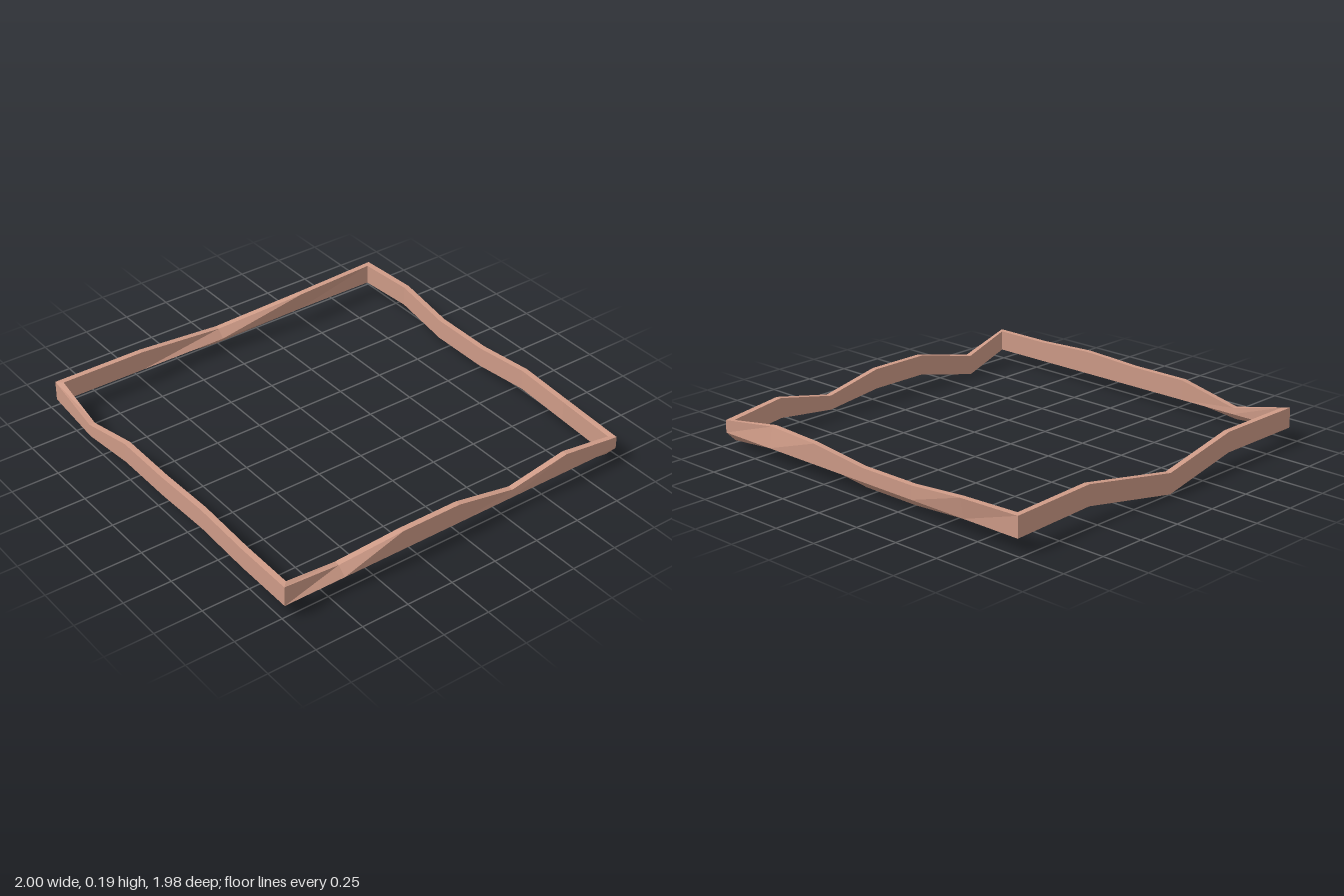
import * as THREE from 'three';

const TOP = 0.175, BOTTOM = 0.07, WALL = 0.03;
const X0 = -0.96, X1 = 1, Z0 = -0.97, Z1 = 0.985;

// Each side runs anticlockwise (seen from above) from its corner, in equal steps.
// A bend is [push outward, top lift, bottom lift]; one lower corner stays pinned.
const flat = [0, 0, 0];
const sides = [
  { from: [X0, Z1], to: [X1, Z1], out: [0, 1], pinned: 'inner',            // front
    bends: [flat, [0.004, -0.073, -0.035], flat, flat, [0, 0.015, 0.015], flat] },
  { from: [X1, Z1], to: [X1, Z0], out: [1, 0], pinned: 'outer',            // +x side
    bends: [flat, [-0.045, -0.065, -0.065], flat, flat, [-0.006, -0.065, -0.035], flat] },
  { from: [X1, Z0], to: [X0, Z0], out: [0, -1], pinned: 'outer',           // back
    bends: [[0, -0.04, -0.04], [-0.02, 0, 0], flat, [0, -0.035, -0.035], [0, -0.035, -0.035], [0.02, 0, 0]] },
  { from: [X0, Z0], to: [X0, Z1], out: [-1, 0], pinned: 'inner',           // -x side
    bends: [flat, [-0.025, 0, 0], [0.04, -0.065, -0.065], flat] },
];

// Four-corner cross-section: outer top, inner top, inner bottom, outer bottom
function section(side, i) {
  const [push, topLift, bottomLift] = side.bends[i];
  const t = i / side.bends.length;
  const x = THREE.MathUtils.lerp(side.from[0], side.to[0], t);
  const z = THREE.MathUtils.lerp(side.from[1], side.to[1], t);
  const [ox, oz] = side.out;
  const inX = THREE.MathUtils.clamp(x - ox * WALL, X0 + WALL, X1 - WALL);
  const inZ = THREE.MathUtils.clamp(z - oz * WALL, Z0 + WALL, Z1 - WALL);
  const corner = (px, pz, y, lift, fixed) => fixed
    ? [px, y, pz]
    : [px + ox * push, y + lift, pz + oz * push];
  return [
    corner(x, z, TOP, topLift, false),
    corner(inX, inZ, TOP, topLift, false),
    corner(inX, inZ, BOTTOM, bottomLift, side.pinned === 'inner'),
    corner(x, z, BOTTOM, bottomLift, side.pinned === 'outer'),
  ];
}

// Join the sections into a closed ring
function ringGeometry(sections) {
  const positions = sections.flat(2);
  const index = [];
  const n = sections.length;
  for (let i = 0; i < n; i++) {
    for (let k = 0; k < 4; k++) {
      const j = (i + 1) % n, m = (k + 1) % 4;
      const a = i * 4 + k, b = j * 4 + k, c = j * 4 + m, d = i * 4 + m;
      index.push(a, b, c, a, c, d);
    }
  }
  const geometry = new THREE.BufferGeometry();
  geometry.setAttribute('position', new THREE.Float32BufferAttribute(positions, 3));
  geometry.setIndex(index);
  const faceted = geometry.toNonIndexed();
  faceted.computeVertexNormals();
  return faceted;
}

export function createModel() {
  const group = new THREE.Group();
  group.name = 'warpedFrame';
  const sections = sides.flatMap((side) => side.bends.map((_, i) => section(side, i)));
  const frame = new THREE.Mesh(
    ringGeometry(sections),
    new THREE.MeshStandardMaterial({ color: 0xd09c88, flatShading: true }),
  );
  frame.name = 'frameRing';
  group.add(frame);
  return group;
}
